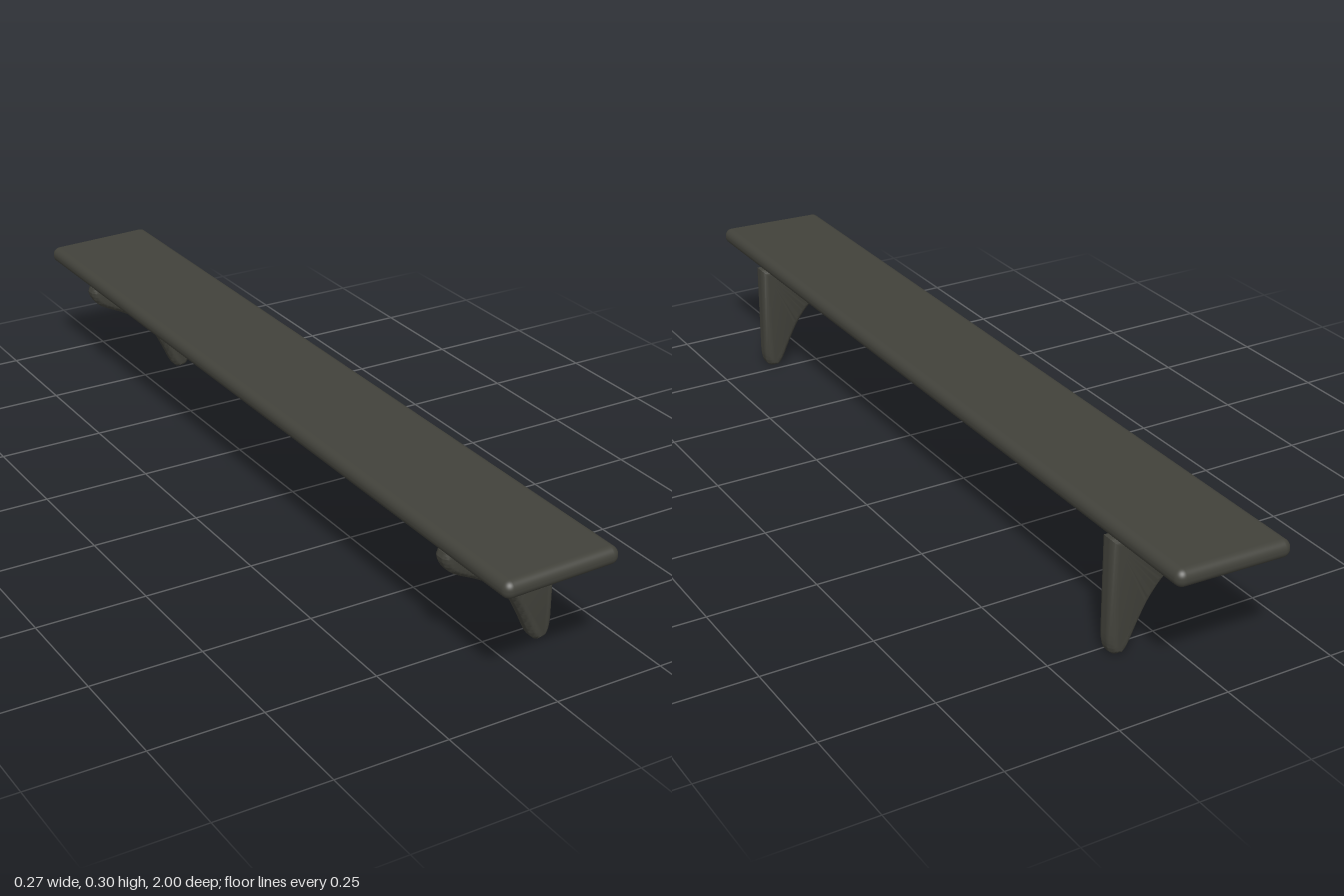
import * as THREE from 'three';
import { mergeVertices, toCreasedNormals } from 'three/addons/utils/BufferGeometryUtils.js';
import { RoundedBoxGeometry } from 'three/addons/geometries/RoundedBoxGeometry.js';

const BEVEL = 0.016;
const THICKNESS = 0.044;

// Side profile of a bracket: straight back edge, S-curved front edge
function bracketGeometry() {
  const shape = new THREE.Shape();
  shape.moveTo(0.133, 0.266);
  shape.lineTo(-0.131, 0.262);
  shape.splineThru([
    [-0.134, 0.243], [-0.113, 0.213], [-0.05, 0.18], [0, 0.15],
    [0.035, 0.11], [0.06, 0.065], [0.083, 0.017], [0.096, 0.001],
  ].map(([x, y]) => new THREE.Vector2(x, y)));
  shape.lineTo(0.113, 0.001);
  shape.bezierCurveTo(0.127, 0.004, 0.132, 0.018, 0.133, 0.05);
  shape.closePath();

  const geo = new THREE.ExtrudeGeometry(shape, {
    depth: THICKNESS - 2 * BEVEL,
    bevelThickness: BEVEL,
    bevelSize: BEVEL,
    bevelOffset: -BEVEL,
    bevelSegments: 5,
    curveSegments: 28,
  });
  geo.translate(0, 0, -THICKNESS / 2 + BEVEL);
  geo.deleteAttribute('uv');
  geo.deleteAttribute('normal');
  return toCreasedNormals(mergeVertices(geo, 1e-5), 0.9);
}

export function createModel() {
  const model = new THREE.Group();
  model.name = 'wallShelf';
  const charcoal = new THREE.MeshStandardMaterial({ color: 0x42423b });
  charcoal.name = 'charcoal';

  // Long board with soft edges, tipped slightly towards one side
  const board = new THREE.Mesh(new RoundedBoxGeometry(0.265, 0.039, 2, 6, 0.0185), charcoal);
  board.name = 'board';
  board.position.set(-0.002, 0.279, 0);
  board.rotation.z = 0.026;
  model.add(board);

  // Two matching brackets below the board
  const bracket = bracketGeometry();
  for (const [name, z] of [['frontBracket', 0.783], ['backBracket', -0.769]]) {
    const mesh = new THREE.Mesh(bracket, charcoal);
    mesh.name = name;
    mesh.position.z = z;
    model.add(mesh);
  }
  return model;
}
